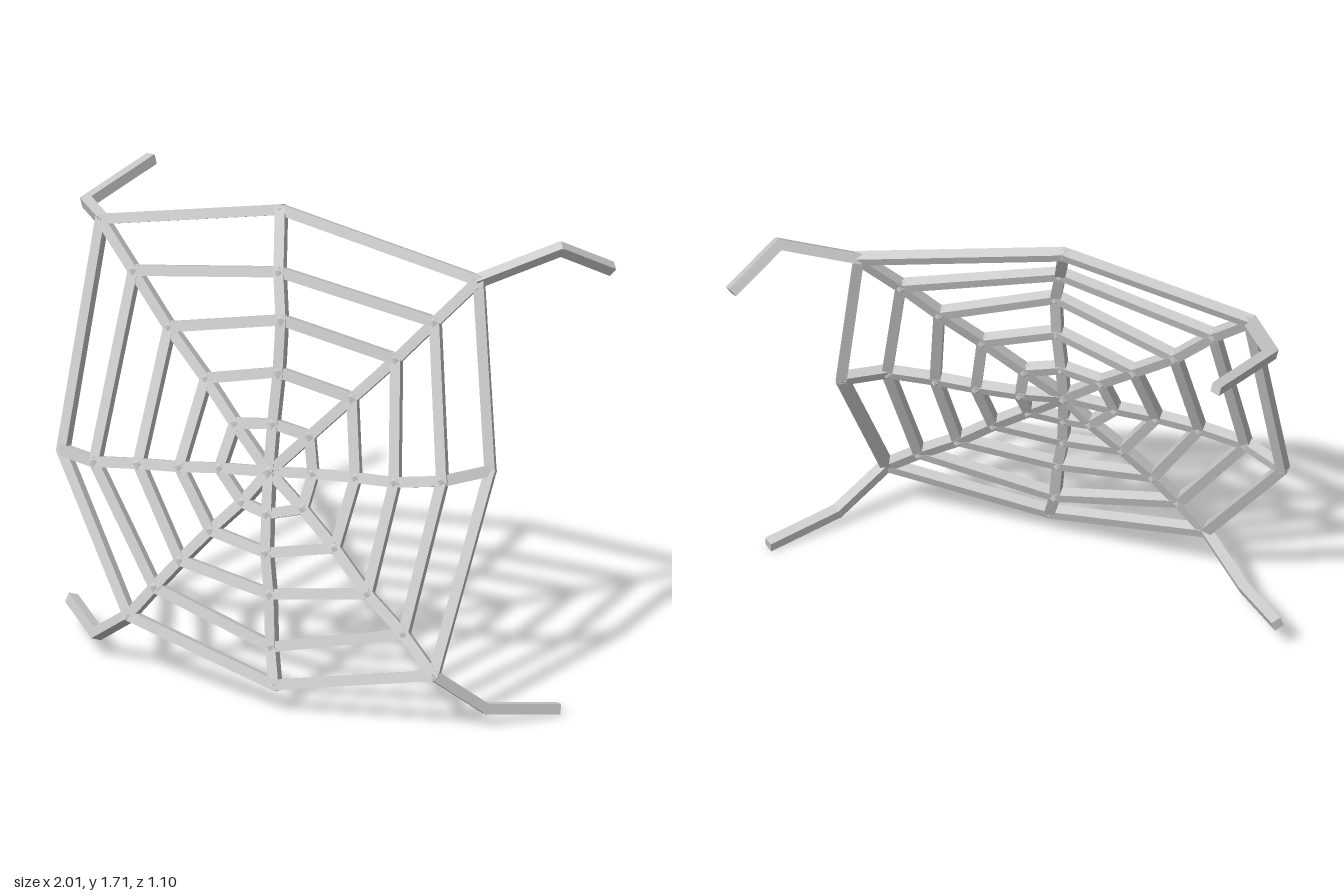
import * as THREE from 'three';

const V = (p) => new THREE.Vector3(...p);
const W = 0.038; // strand thickness
const HUB = V([-0.08, 0.815, 0.28]);

// Each spoke lists its ring crossings from the hub outwards
const SPOKES = {
  top: [[-0.085, 0.98, 0.23], [-0.08, 1.165, 0.19], [-0.085, 1.35, 0.15], [-0.12, 1.505, 0.085], [-0.165, 1.69, -0.04]],
  topLeft: [[0.05, 0.95, 0.22], [0.19, 1.095, 0.16], [0.33, 1.24, 0.09], [0.455, 1.38, 0.03], [0.59, 1.53, -0.05]],
  left: [[0.075, 0.82, 0.25], [0.235, 0.825, 0.24], [0.385, 0.83, 0.24], [0.555, 0.85, 0.21], [0.695, 0.87, 0.10]],
  bottomLeft: [[0.06, 0.705, 0.31], [0.2, 0.59, 0.35], [0.345, 0.455, 0.4], [0.5, 0.34, 0.44], [0.635, 0.22, 0.49]],
  bottom: [[-0.065, 0.675, 0.335], [-0.05, 0.545, 0.38], [-0.02, 0.405, 0.42], [0.005, 0.225, 0.47], [0.04, 0.105, 0.525]],
  bottomRight: [[-0.17, 0.695, 0.31], [-0.28, 0.58, 0.34], [-0.385, 0.46, 0.37], [-0.475, 0.35, 0.39], [-0.57, 0.23, 0.4]],
  right: [[-0.27, 0.8, 0.28], [-0.42, 0.785, 0.29], [-0.58, 0.77, 0.285], [-0.755, 0.745, 0.27], [-0.915, 0.73, 0.18]],
  topRight: [[-0.235, 0.955, 0.22], [-0.375, 1.08, 0.15], [-0.545, 1.225, 0.08], [-0.705, 1.395, 0.02], [-0.86, 1.54, -0.055]],
};

// Anchor threads leave the corners: elbow, then free end
const ANCHORS = {
  topLeft: [[0.85, 1.64, -0.185], [0.98, 1.52, -0.35]],
  bottomLeft: [[0.785, 0.07, 0.37], [0.985, 0.025, 0.17]],
  bottomRight: [[-0.74, 0.09, 0.29], [-0.925, 0.115, 0.075]],
  topRight: [[-0.98, 1.53, -0.205], [-0.865, 1.585, -0.54]],
};

export function createModel() {
  const model = new THREE.Group();
  const mat = new THREE.MeshStandardMaterial({ color: 0xcccccc, flatShading: true });

  // Square strand from a to b; `across` lies in the web surface and sets the roll
  function strand(parent, name, a, b, across, extendA = 0.008, extendB = extendA) {
    const dir = b.clone().sub(a);
    const len = dir.length();
    dir.normalize();
    const normal = dir.clone().cross(across).normalize();
    const side = dir.clone().cross(normal);
    const mesh = new THREE.Mesh(new THREE.BoxGeometry(W, len + extendA + extendB, W), mat);
    mesh.quaternion.setFromRotationMatrix(new THREE.Matrix4().makeBasis(side, dir, normal));
    mesh.position.copy(a).add(b).multiplyScalar(0.5).addScaledVector(dir, (extendB - extendA) / 2);
    mesh.name = name;
    parent.add(mesh);
  }

  // Faceted swelling where strands meet
  function knot(parent, p, r) {
    const mesh = new THREE.Mesh(new THREE.IcosahedronGeometry(r, 0), mat);
    mesh.position.copy(p);
    mesh.name = 'knot';
    parent.add(mesh);
  }

  function group(name) {
    const g = new THREE.Group();
    g.name = name;
    model.add(g);
    return g;
  }

  const names = Object.keys(SPOKES);
  const nodes = names.map((n) => SPOKES[n].map(V));
  const n = nodes.length;

  // Spokes, bent at every ring
  const spokes = group('spokes');
  nodes.forEach((pts, i) => {
    const across = nodes[(i + 1) % n][4].clone().sub(nodes[(i + n - 1) % n][4]);
    [HUB, ...pts].forEach((p, k, all) => {
      if (k) strand(spokes, names[i] + 'Spoke', all[k - 1], p, across);
    });
  });
  knot(spokes, HUB, 0.032);

  // Five rings of cross strands
  for (let k = 0; k < 5; k++) {
    const ring = group(k === 4 ? 'outerRing' : 'ring' + (k + 1));
    for (let i = 0; i < n; i++) {
      const a = nodes[i][k], b = nodes[(i + 1) % n][k];
      const outward = a.clone().add(b).multiplyScalar(0.5).sub(HUB);
      strand(ring, 'crossStrand', a, b, outward);
      knot(ring, a, k === 4 ? 0.024 : 0.029);
    }
  }

  // Anchor threads at the four corners
  for (const [name, path] of Object.entries(ANCHORS)) {
    const g = group(name + 'Anchor');
    const pts = [nodes[names.indexOf(name)][4], ...path.map(V)];
    const bend = pts[2].clone().sub(pts[1]).cross(pts[1].clone().sub(pts[0]));
    strand(g, 'anchorThread', pts[0], pts[1], bend);
    strand(g, 'anchorEnd', pts[1], pts[2], bend, 0.008, 0);
    knot(g, pts[1], 0.021);
  }
  return model;
}
